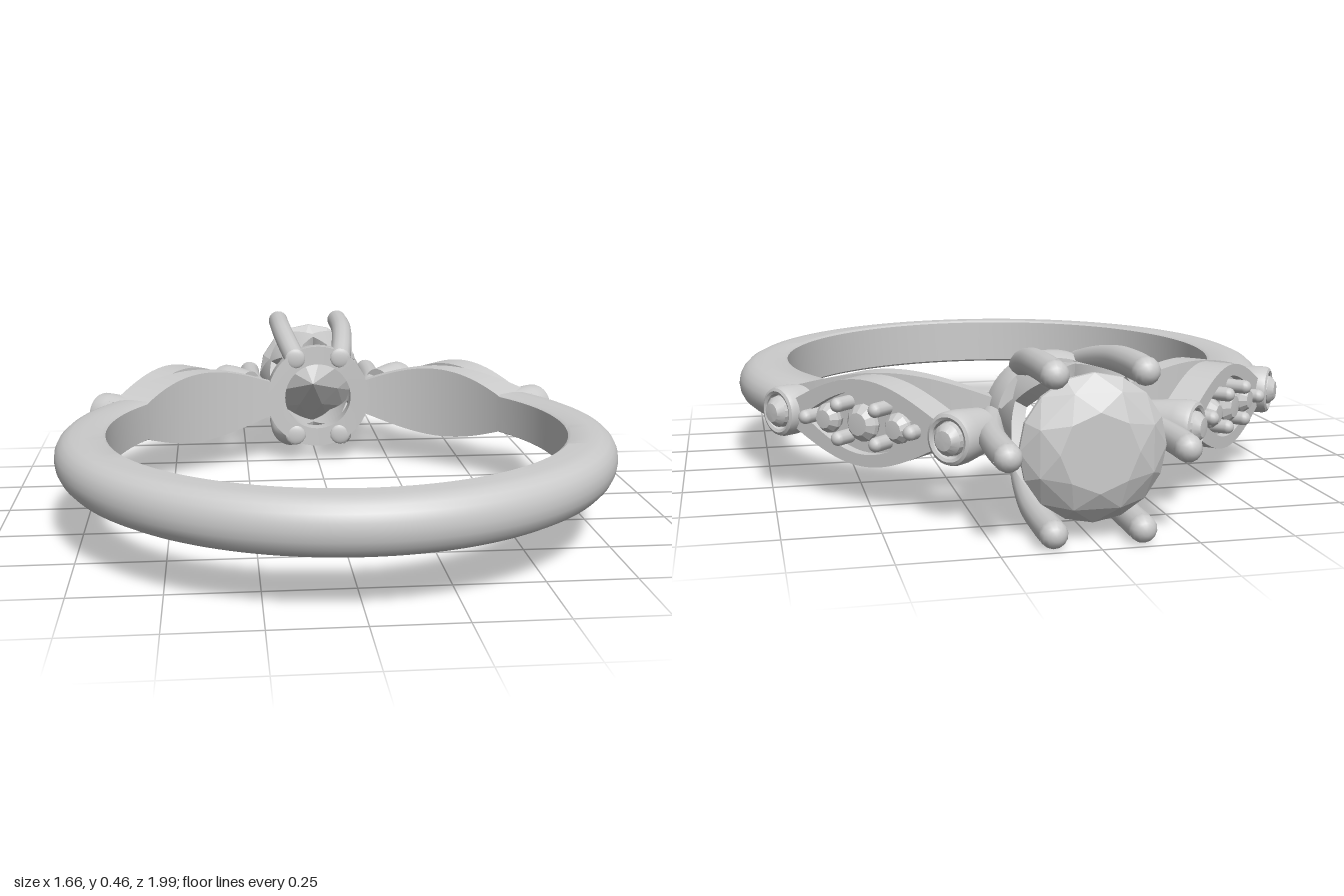
import * as THREE from 'three';
import { toCreasedNormals } from 'three/addons/utils/BufferGeometryUtils.js';
import { ConvexGeometry } from 'three/addons/geometries/ConvexGeometry.js';

const metal = new THREE.MeshStandardMaterial({ color: 0xcccccc });
const V = (x, y, z) => new THREE.Vector3(x, y, z);
const RI = 0.677, CZ = 0.186; // finger hole radius and centre

function add(parent, name, geo, x = 0, y = 0, z = 0) {
  const m = new THREE.Mesh(geo, metal);
  m.name = name;
  m.position.set(x, y, z);
  parent.add(m);
  return m;
}

// Skin a list of equal cross-sections; capped at the ends unless closed
function loft(rings, closed = false, crease = 0.6) {
  const n = rings[0].length, pts = rings.flat(), idx = [];
  const last = closed ? rings.length : rings.length - 1;
  for (let i = 0; i < last; i++) for (let j = 0; j < n; j++) {
    const a = i * n + j, b = i * n + (j + 1) % n;
    const c = ((i + 1) % rings.length) * n + j, d = ((i + 1) % rings.length) * n + (j + 1) % n;
    idx.push(a, b, d, a, d, c);
  }
  if (!closed) for (let j = 1; j < n - 1; j++) {
    const e = (rings.length - 1) * n;
    idx.push(0, j + 1, j, e, e + j, e + j + 1);
  }
  // turn the faces outward if the enclosed volume is negative
  let vol = 0;
  const t = V(0, 0, 0);
  for (let i = 0; i < idx.length; i += 3) vol += pts[idx[i]].dot(t.crossVectors(pts[idx[i + 1]], pts[idx[i + 2]]));
  if (vol < 0) idx.reverse();
  const g = new THREE.BufferGeometry().setFromPoints(pts);
  g.setIndex(idx);
  return toCreasedNormals(g, crease);
}

// Sweep a section (u = 0..1 outward, v = -1..1 across) round the finger hole
function bandSweep(section, a0, a1, steps, thick, half) {
  const rings = [];
  for (let i = 0; i <= steps; i++) {
    const s = i / steps, a = THREE.MathUtils.degToRad(a0 + (a1 - a0) * s);
    rings.push(section.map(([u, v]) => {
      const r = RI + u * thick(s, a);
      return V(r * Math.sin(a), v * half(s, a), CZ + r * Math.cos(a));
    }));
  }
  return loft(rings);
}

function lathe(points, segs = 32, crease = 0.6) {
  return toCreasedNormals(new THREE.LatheGeometry(points.map(p => new THREE.Vector2(...p)), segs), crease);
}

// Pointed leaf outline with small blunt ends
function leaf(path, len, wide, end) {
  const n = 20, w = x => end + (wide - end) * Math.cos(x / len * Math.PI / 2);
  for (let i = 0; i <= n; i++) { const x = -len + 2 * len * i / n; i ? path.lineTo(x, -w(x)) : path.moveTo(x, -w(x)); }
  for (let i = n; i >= 0; i--) { const x = -len + 2 * len * i / n; path.lineTo(x, w(x)); }
  path.closePath();
  return path;
}

// Round setting with a domed stone; (x, z) is its cap centre, it points along (dx, dz)
function bezel(parent, name, x, z, dx, dz, len, rBase) {
  const g = new THREE.Group();
  g.name = name;
  g.position.set(x, 0, z);
  g.quaternion.setFromUnitVectors(V(0, 1, 0), V(dx, 0, dz).normalize());
  add(g, 'bezelCup', lathe([[0, -len], [rBase, -len], [0.07, -0.05], [0.07, -0.015], [0.066, -0.004],
    [0.058, 0], [0.05, -0.004], [0.046, -0.018], [0, -0.018]]));
  add(g, 'bezelStone', lathe([[0.044, -0.018], [0.042, 0], [0.026, 0.017], [0, 0.02]], 16, 0.3));
  parent.add(g);
}

function makeShoulder() {
  const side = new THREE.Group();
  side.name = 'shoulder';
  // inner leaf hugging the finger, running to the head
  add(side, 'innerLeaf', bandSweep([[0, -1], [0, 1], [1, 1], [1, -1]], 121, 167, 28,
    s => 0.045 + 0.1 * (1 - s) ** 2, s => 0.055 + 0.062 * Math.sin(Math.PI * s)));

  // straight outer leaf with a raised rim
  const g = new THREE.Group();
  g.name = 'outerLeaf';
  g.position.set(0.521, 0, -0.508);
  g.rotation.y = 2.332;
  side.add(g);
  const rim = leaf(new THREE.Shape(), 0.25, 0.118, 0.035);
  rim.holes.push(leaf(new THREE.Path(), 0.2, 0.085, 0.006));
  const rimGeo = new THREE.ExtrudeGeometry(rim, { depth: 0.09, bevelEnabled: false });
  add(g, 'leafRim', toCreasedNormals(rimGeo, 0.5), 0, 0, -0.09);
  const floor = new THREE.ExtrudeGeometry(leaf(new THREE.Shape(), 0.22, 0.098, 0.02), { depth: 0.06, bevelEnabled: false });
  add(g, 'leafFloor', toCreasedNormals(floor, 0.5), 0, 0, -0.088);

  // three small stones and their bead prongs
  for (const [x, r] of [[-0.12, 0.042], [0, 0.052], [0.12, 0.042]]) {
    const s = add(g, 'smallStone', lathe([[r * 0.7, -0.035], [r, -0.01], [r * 0.95, 0], [r * 0.6, 0.018], [0, 0.02]], 12, 0.3), x, 0, 0);
    s.rotation.x = Math.PI / 2;
  }
  for (const [x, y] of [[-0.18, 0], [0.18, 0], [-0.065, 0.046], [-0.065, -0.046], [0.065, 0.046], [0.065, -0.046]]) {
    const p = add(g, 'beadProng', new THREE.CapsuleGeometry(0.02, 0.06, 5, 12), x, y, -0.01);
    p.rotation.x = Math.PI / 2;
  }

  bezel(side, 'lowerBezel', 0.735, -0.307, 0.83, -0.557, 0.2, 0.058);
  bezel(side, 'upperBezel', 0.333, -0.75, 0.74, -0.67, 0.135, 0.06);
  return side;
}

// Head, built along its own y axis
function makeHead() {
  const head = new THREE.Group();
  head.name = 'head';
  head.rotation.x = -Math.PI / 2;

  // base ring, its underside following the finger hole
  const base = new THREE.LatheGeometry([[0.115, 0.47], [0.178, 0.47], [0.178, 0.53], [0.165, 0.56], [0.12, 0.56], [0.115, 0.47]]
    .map(p => new THREE.Vector2(...p)), 48);
  const pos = base.attributes.position;
  for (let i = 0; i < pos.count; i++) {
    if (pos.getY(i) < 0.5) pos.setY(i, Math.sqrt(RI * RI - pos.getX(i) ** 2) - CZ);
  }
  add(head, 'headBase', toCreasedNormals(base, 0.5));

  // basket: pointed arches below, V notches above, one per gap between prongs
  const rings = [], steps = 144;
  const rad = y => 0.158 + 0.09 * (y - 0.5);
  for (let i = 0; i < steps; i++) {
    const k = (i % 24) / 24, w = 1 - Math.abs(2 * k - 1), a = i / steps * Math.PI * 2;
    const top = 0.86 - 0.12 * w;
    const bot = w > 0.45 ? 0.6 + 0.1 * (w - 0.45) / 0.55 : 0.54;
    rings.push([[rad(bot), bot], [rad(top), top], [rad(top) - 0.035, top], [rad(bot) - 0.035, bot]]
      .map(([r, y]) => V(r * Math.cos(a), y, r * Math.sin(a))));
  }
  add(head, 'basket', loft(rings, true));

  // six curved prongs with round tips
  const curve = new THREE.CatmullRomCurve3([[0.158, 0.49], [0.19, 0.6], [0.217, 0.74], [0.225, 0.87], [0.225, 0.964]]
    .map(([r, y]) => V(r, y, 0)));
  const tube = new THREE.TubeGeometry(curve, 24, 0.036, 14);
  const ball = new THREE.SphereGeometry(0.036, 14, 10);
  for (let i = 0; i < 6; i++) {
    const p = new THREE.Group();
    p.name = 'prong';
    p.rotation.y = i * Math.PI / 3;
    add(p, 'prongShaft', tube);
    add(p, 'prongTip', ball, 0.225, 0.964, 0);
    add(p, 'prongFoot', ball, 0.158, 0.49, 0).scale.y = 0.3;
    head.add(p);
  }

  // faceted centre stone
  const pts = [V(0, 0.7, 0)];
  for (const [r, y, n, off] of [[0.1, 0.975, 8, 0], [0.155, 0.952, 8, 0.5], [0.187, 0.917, 16, 0], [0.187, 0.905, 16, 0], [0.11, 0.81, 8, 0.5]]) {
    for (let i = 0; i < n; i++) {
      const a = (i + off) / n * Math.PI * 2;
      pts.push(V(r * Math.cos(a), y, r * Math.sin(a)));
    }
  }
  add(head, 'centreStone', new ConvexGeometry(pts));
  return head;
}

export function createModel() {
  const model = new THREE.Group();
  model.name = 'ring';
  const body = new THREE.Group();
  body.name = 'ringBody';
  body.position.y = 0.236;
  model.add(body);

  // shank: flat inside, domed outside
  const section = [[0.06, -1], [0, -0.92], [0, 0.92], [0.06, 1], [0.45, 1]];
  for (let i = 1; i < 10; i++) {
    const a = Math.PI / 2 - i / 10 * Math.PI;
    section.push([0.45 + 0.55 * Math.cos(a) ** 0.8, Math.sin(a)]);
  }
  section.push([0.45, -1]);
  add(body, 'shank', bandSweep(section, -123, 123, 96,
    (s, a) => 0.151 - 0.024 * Math.cos(a), (s, a) => 0.068 + 0.0095 * Math.cos(a)));

  // mirrored shoulders
  const left = makeShoulder(), right = makeShoulder();
  left.name = 'leftShoulder';
  right.name = 'rightShoulder';
  right.scale.x = -1;
  body.add(left, right, makeHead());
  return model;
}
